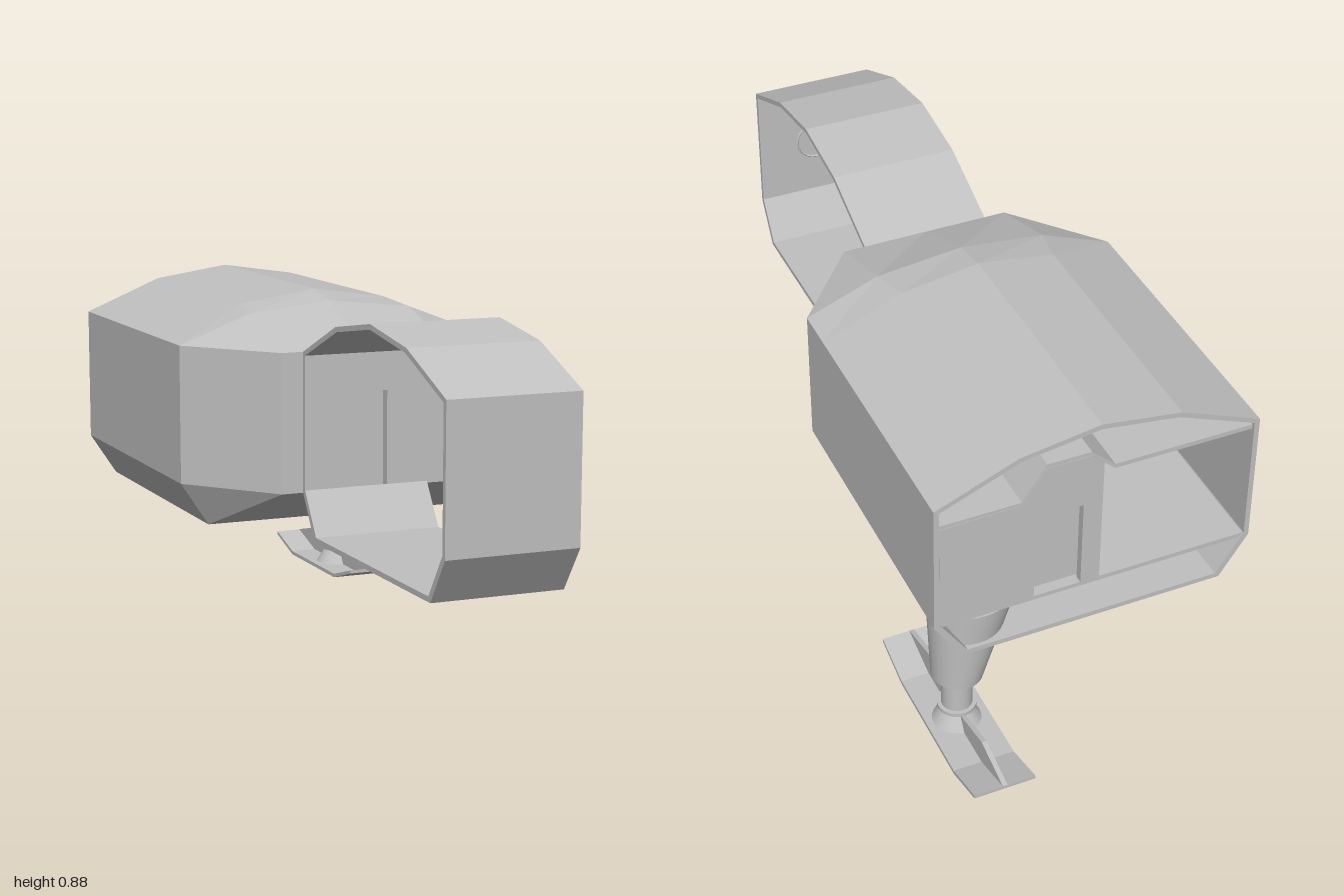
import * as THREE from 'three';

const grey = new THREE.MeshStandardMaterial({ color: 0xc0c0c0, flatShading: true, side: THREE.DoubleSide });
grey.name = 'light grey';
const smoothGrey = grey.clone();
smoothGrey.name = 'light grey smooth';
smoothGrey.flatShading = false;

const WALL = 0.013;

// Cross-section shared by the cabin and the front loop
const SECTION = [[-0.333, 0.305], [0.333, 0.305], [0.405, 0.415], [0.405, 0.765], [0.2, 0.85],
  [0, 0.88], [-0.2, 0.85], [-0.405, 0.765], [-0.405, 0.415]];
const inset = (pts) => pts.map(([x, y]) => [x * (1 - WALL / 0.405), 0.59 + (y - 0.59) * (1 - WALL / 0.288)]);

function shapeOf(pts, hole) {
  const s = new THREE.Shape(pts.map(([x, y]) => new THREE.Vector2(x, y)));
  if (hole) s.holes.push(new THREE.Path(hole.map(([x, y]) => new THREE.Vector2(x, y))));
  return s;
}
const rect = (x0, x1, y0, y1) => [[x0, y0], [x1, y0], [x1, y1], [x0, y1]];
const slab = (pts, depth, hole) => new THREE.ExtrudeGeometry(shapeOf(pts, hole), { depth, bevelEnabled: false });
// Extrudes a (z, y) outline across x
const acrossX = (pts, width, x) => slab(pts, width).rotateY(-Math.PI / 2).translate(x + width / 2, 0, 0);

// Skins a row of matching cross-sections
function loft(sections) {
  const pos = [];
  for (let i = 0; i < sections.length - 1; i++) {
    const A = sections[i], B = sections[i + 1], n = A.pts.length;
    for (let j = 0; j < n; j++) {
      const k = (j + 1) % n;
      const a = [...A.pts[j], A.z], b = [...A.pts[k], A.z], c = [...B.pts[k], B.z], d = [...B.pts[j], B.z];
      pos.push(...a, ...b, ...c, ...a, ...c, ...d);
    }
  }
  const g = new THREE.BufferGeometry();
  g.setAttribute('position', new THREE.Float32BufferAttribute(pos, 3));
  g.computeVertexNormals();
  return g;
}

export function createModel() {
  const model = new THREE.Group();
  model.name = 'cabinWithLoopAndSki';
  const add = (name, geo, mat = grey, parent = model) => {
    const m = new THREE.Mesh(geo, mat);
    m.name = name;
    parent.add(m);
    return m;
  };

  // Cabin shell: open at the back, tapering to a small front wall
  const shoulder = SECTION.map(([x, y]) =>
    y > 0.87 ? [x, 0.86] : y > 0.8 ? [Math.sign(x) * 0.22, 0.836] : [x, y]);
  const nose = SECTION.map(([x, y]) => [Math.sign(x) * 0.22, y < 0.5 ? 0.415 : 0.765]);
  const outer = [{ z: -0.81, pts: SECTION }, { z: -0.14, pts: SECTION }, { z: -0.035, pts: shoulder }, { z: 0.19, pts: nose }];
  const inner = outer.map((s, i) => ({ z: i === 3 ? 0.178 : s.z, pts: inset(s.pts) })).reverse();
  add('cabinShell', loft([...inner, ...outer]));
  const frontDoor = rect(-0.055, 0.055, 0.418, 0.66);
  add('cabinFrontWall', slab(rect(-0.22, 0.22, 0.415, 0.765), 0.012, frontDoor).translate(0, 0, 0.178));
  add('frontDoorPanel', new THREE.BoxGeometry(0.13, 0.25, 0.006).translate(0, 0.54, 0.175));

  // Cabin interior: floor, stepped ceiling, partition and rear bulkhead
  const floor = [[-0.39, -0.805], [0.39, -0.805], [0.39, -0.045], [0.2, 0.17], [-0.2, 0.17], [-0.39, -0.045]];
  add('cabinFloor', slab(floor, 0.012).rotateX(Math.PI / 2).translate(0, 0.42, 0));
  const ceiling = [[0.39, 0.715], [0.19, 0.715], [0.13, 0.805], [0.02, 0.805], [-0.04, 0.75], [-0.39, 0.75]];
  const ceilingUnder = ceiling.map(([x, y]) => [x, y - 0.012]).reverse();
  add('cabinCeiling', slab([...ceiling, ...ceilingUnder], 0.765).translate(0, 0, -0.805));
  add('partition', new THREE.BoxGeometry(0.012, 0.34, 0.9).translate(-0.006, 0.585, -0.355));
  const bulkhead = [[-0.012, 0.415], [0.39, 0.415], [0.39, 0.705], [0.19, 0.708], [0.13, 0.795], [0.02, 0.795], [-0.012, 0.765]];
  add('rearBulkhead', slab(bulkhead, 0.02, rect(0.036, 0.155, 0.42, 0.655)).translate(0, 0, -0.806));
  add('rearDoorPanel', new THREE.BoxGeometry(0.14, 0.25, 0.006).translate(0.095, 0.54, -0.775));

  // Front loop: the same section turned sideways, with a doorway in its rear wall
  const loopOuter = [...SECTION.slice(8), ...SECTION.slice(0, 8)];
  const loopInner = inset(loopOuter).reverse();
  const toZ = ([u, y]) => [u + 0.595, y];
  add('frontLoop', acrossX([...loopOuter, ...loopInner].map(toZ), 0.33, 0));
  add('loopRearWall', slab(rect(-0.165, 0.165, 0.415, 0.765), WALL, frontDoor).translate(0, 0, 0.19));
  add('portRing', new THREE.TorusGeometry(0.055, 0.003, 4, 24).translate(0, 0.585, 0.986));

  // Landing leg
  const leg = new THREE.Group();
  leg.name = 'landingLeg';
  leg.position.set(0.31, 0, -0.72);
  model.add(leg);
  // Leaning elliptical housing, wider at the top
  const housing = new THREE.CylinderGeometry(1, 1, 0.24, 32, 4).translate(0, 0.285, 0);
  const p = housing.attributes.position;
  for (let i = 0; i < p.count; i++) {
    const t = (p.getY(i) - 0.165) / 0.24;
    p.setX(i, p.getX(i) * (0.062 + 0.046 * t) - 0.034 * t);
    p.setZ(i, p.getZ(i) * (0.067 + 0.021 * t));
  }
  housing.computeVertexNormals();
  add('legHousing', housing, smoothGrey, leg);
  add('legPiston', new THREE.CylinderGeometry(0.038, 0.038, 0.17, 24).translate(0, 0.095, 0), smoothGrey, leg);
  add('legCollar', new THREE.CylinderGeometry(0.048, 0.048, 0.01, 24).translate(0, 0.06, 0), smoothGrey, leg);
  add('legFoot', new THREE.CylinderGeometry(0.038, 0.06, 0.035, 24).translate(0, 0.027, 0), smoothGrey, leg);

  // Ski with upturned tips and a stiffening rib at each end
  const ski = [[-0.28, 0.037], [-0.16, 0], [0.16, 0], [0.28, 0.037], [0.28, 0.046], [0.16, 0.01], [-0.16, 0.01], [-0.28, 0.046]];
  add('ski', acrossX(ski, 0.155, 0), grey, leg);
  for (const s of [-1, 1]) {
    const rib = [[0.03, 0.005], [0.16, 0.005], [0.28, 0.042], [0.28, 0.047], [0.16, 0.076], [0.03, 0.046]];
    add('skiRib', acrossX(rib.map(([z, y]) => [s * z, y]), 0.012, 0), grey, leg);
  }
  return model;
}
